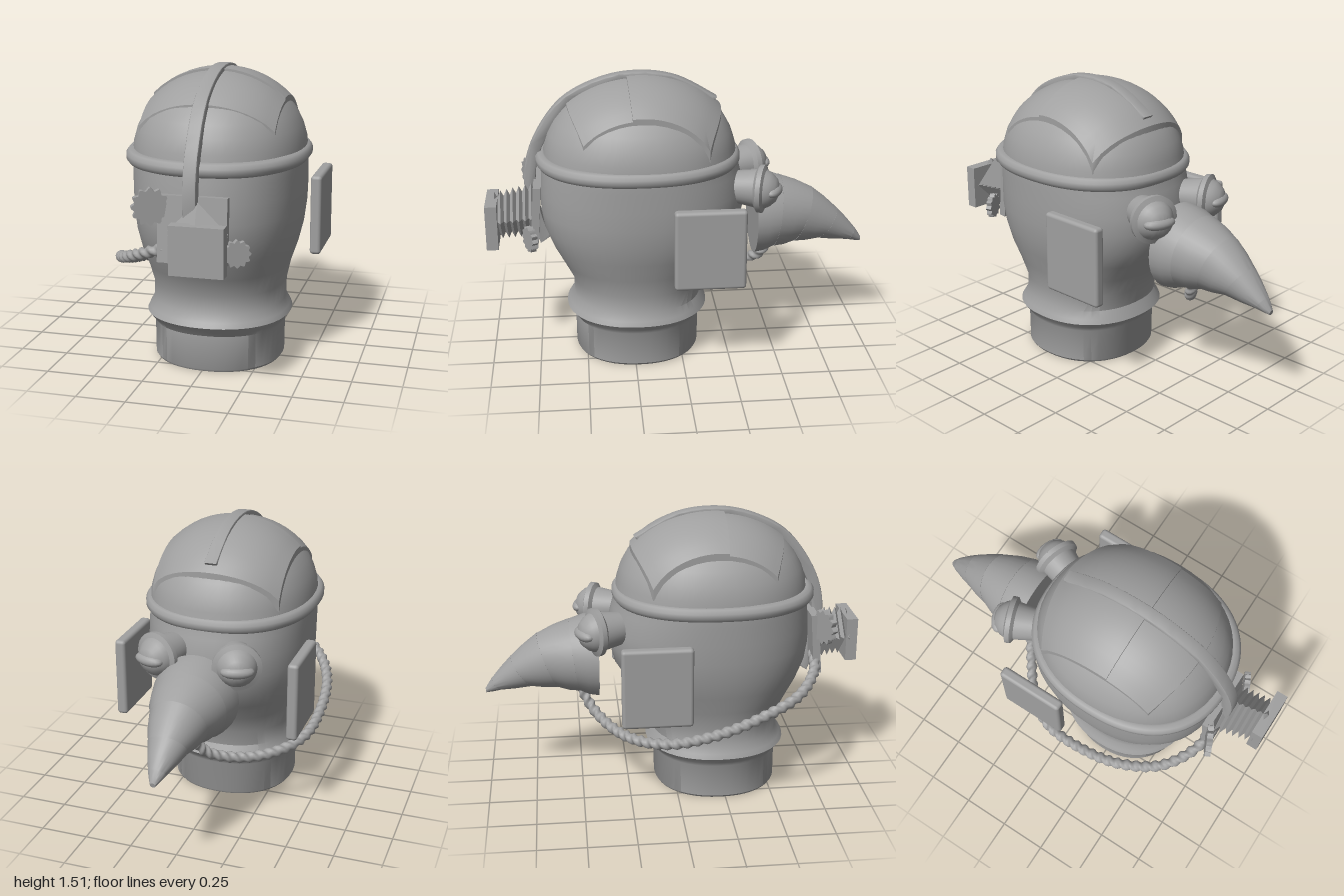
import * as THREE from 'three';
import { toCreasedNormals, mergeVertices } from 'three/addons/utils/BufferGeometryUtils.js';
import { RoundedBoxGeometry } from 'three/addons/geometries/RoundedBoxGeometry.js';

const V = (x, y, z) => new THREE.Vector3(x, y, z);

// Superellipse ring spanned by the half axes u and v
function ring(centre, u, v, count, power = 2) {
  const points = [];
  for (let j = 0; j < count; j++) {
    const a = (j / count) * Math.PI * 2, c = Math.cos(a), s = Math.sin(a);
    const bend = (t) => Math.sign(t) * Math.abs(t) ** (2 / power);
    points.push(centre.clone().addScaledVector(u, bend(c)).addScaledVector(v, bend(s)));
  }
  return points;
}

// Skin through equal rings, closed at both ends
function loft(rings, crease) {
  const n = rings[0].length, pos = [], index = [];
  rings.forEach((r) => r.forEach((p) => pos.push(p.x, p.y, p.z)));
  for (let i = 0; i < rings.length - 1; i++) {
    for (let j = 0; j < n; j++) {
      const a = i * n + j, b = i * n + (j + 1) % n;
      index.push(a, a + n, b, b, a + n, b + n);
    }
  }
  [rings[0], rings[rings.length - 1]].forEach((r, end) => {
    const c = r.reduce((s, p) => s.add(p), V(0, 0, 0)).divideScalar(n);
    const k = pos.length / 3, base = end ? (rings.length - 1) * n : 0;
    pos.push(c.x, c.y, c.z);
    for (let j = 0; j < n; j++) {
      const a = base + j, b = base + (j + 1) % n;
      if (end) index.push(k, b, a); else index.push(k, a, b);
    }
  });
  const g = new THREE.BufferGeometry();
  g.setAttribute('position', new THREE.Float32BufferAttribute(pos, 3));
  g.setIndex(index);
  return toCreasedNormals(g, crease);
}

export function createModel() {
  const group = new THREE.Group();
  const grey = new THREE.MeshStandardMaterial({ color: 0xa0a0a0 });
  grey.name = 'plain grey';
  const add = (name, geometry, parent = group) => {
    const mesh = new THREE.Mesh(geometry, grey);
    mesh.name = name;
    parent.add(mesh);
    return mesh;
  };

  // Neck, collar and face: height, half width, front z, back z
  const sections = [
    [0, 0.325, 0.55, -0.095], [0.012, 0.334, 0.557, -0.102], [0.19, 0.336, 0.557, -0.105],
    [0.215, 0.35, 0.575, -0.12], [0.245, 0.373, 0.6, -0.148], [0.27, 0.362, 0.585, -0.135],
    [0.31, 0.34, 0.56, -0.115], [0.4, 0.34, 0.56, -0.13], [0.5, 0.362, 0.612, -0.18],
    [0.6, 0.395, 0.665, -0.25], [0.7, 0.418, 0.705, -0.315], [0.8, 0.43, 0.72, -0.34],
    [0.9, 0.433, 0.718, -0.345], [1.0, 0.434, 0.71, -0.32], [1.07, 0.434, 0.7, -0.3],
  ];
  // Skull dome
  for (let i = 1; i <= 9; i++) {
    const t = (i / 9) * 1.54, c = Math.cos(t);
    sections.push([1.07 + 0.41 * Math.sin(t), 0.434 * c, 0.2 + 0.5 * c, 0.2 - 0.5 * c]);
  }
  add('head', loft(sections.map(([y, w, f, b]) =>
    ring(V(0.012, y, (f + b) / 2), V(w, 0, 0), V(0, 0, (f - b) / 2), 48, 2.2)), 0.6));

  // Brow band round the skull
  const bandPath = new THREE.CatmullRomCurve3(
    ring(V(0.01, 1.07, 0.21), V(0.422, 0, 0), V(0, 0, 0.492), 32, 2.3), true);
  add('browBand', new THREE.TubeGeometry(bandPath, 80, 0.038, 10, true));

  // Two curved plates on the crown
  function crownPlate(name, from, to, lift) {
    const g = new THREE.BoxGeometry(1, 1, 1, 16, 1, 10);
    const p = g.attributes.position;
    for (let i = 0; i < p.count; i++) {
      const u = p.getX(i) * 2, x = 0.01 + 0.34 * u;
      const front = 0.57 - 0.08 * u * u, back = -0.22 + 0.09 * u * u;
      const k = from + (to - from) * (p.getZ(i) + 0.5);
      const z = back + (front - back) * k;
      const d = 1 - ((x - 0.01) / 0.47) ** 2 - ((z - 0.2) / 0.53) ** 2;
      const top = 1.05 + 0.445 * Math.sqrt(Math.max(d, 0.02)) + lift;
      p.setXYZ(i, x, p.getY(i) > 0 ? top : top - 0.06, z);
    }
    add(name, toCreasedNormals(g, 0.6));
  }
  crownPlate('rearCrownPlate', 0, 0.61, 0);
  crownPlate('frontCrownPlate', 0.59, 1, -0.012);

  // Crest strip along the midline, drawn as (z, y)
  const outer = new THREE.SplineCurve([
    [0.73, 0.59], [0.78, 0.75], [0.8, 0.98], [0.74, 1.18], [0.6, 1.37],
    [0.4, 1.475], [0.2, 1.507], [0, 1.475], [-0.2, 1.365],
  ].map(([z, y]) => new THREE.Vector2(z, y))).getPoints(48);
  const inner = outer.map((p) => new THREE.Vector2(0.2 + (p.x - 0.2) * 0.9, 0.95 + (p.y - 0.95) * 0.9));
  const crest = new THREE.ExtrudeGeometry(new THREE.Shape([...outer, ...inner.reverse()]),
    { depth: 0.05, bevelThickness: 0.008, bevelSize: 0.006, bevelSegments: 2, bevelOffset: -0.006 });
  crest.rotateY(-Math.PI / 2).translate(0.036, 0, 0);
  add('crestStrip', toCreasedNormals(crest, 0.6));

  // Ear panels
  [['leftEarPanel', 0.476], ['rightEarPanel', -0.456]].forEach(([name, x]) => {
    add(name, new RoundedBoxGeometry(0.058, 0.42, 0.36, 3, 0.018)).position.set(x, 0.71, -0.122);
  });

  // Mouthpiece: mounting plate, square bellows and end plate
  const mount = add('mouthMount', new THREE.BoxGeometry(0.34, 0.325, 0.04));
  mount.position.set(0.015, 0.79, 0.745);
  mount.rotation.x = -0.08;
  const folds = [];
  for (let i = 0; i <= 14; i++) {
    const t = i / 14, r = (i % 2 ? 0.15 : 0.115) - 0.02 * t;
    folds.push(ring(V(0.04 + 0.05 * t, 0.785 - 0.01 * t, 0.75 + 0.22 * t), V(r, 0, 0), V(0, -r, 0), 4));
  }
  add('mouthBellows', loft(folds, 0.1));
  add('mouthEndPlate', new THREE.BoxGeometry(0.26, 0.235, 0.06)).position.set(0.1, 0.76, 0.968);

  // Toothed knobs either side of the mouthpiece
  [['rightKnob', -0.185, 0.9, 0.775, 0.093], ['leftKnob', 0.235, 0.7, 0.775, 0.068]].forEach(([name, x, y, z, r]) => {
    const points = [];
    for (let i = 0; i < 72; i++) {
      const a = (i / 72) * Math.PI * 2, q = r * (0.91 + 0.09 * Math.cos(a * 12));
      points.push(new THREE.Vector2(q * Math.cos(a), q * Math.sin(a)));
    }
    const g = new THREE.ExtrudeGeometry(new THREE.Shape(points), { depth: 0.03, bevelEnabled: false });
    const knob = add(name, toCreasedNormals(g.translate(0, 0, -0.015), 0.6));
    knob.position.set(x, y, z);
    knob.rotation.y = 0.45;
  });

  // Drooping horn: top z, top y, bottom z, bottom y, half width of each joint
  const joints = [
    [-0.4, 0.95, -0.4, 0.5, 0.222], [-0.55, 0.915, -0.5, 0.53, 0.2], [-0.72, 0.845, -0.61, 0.55, 0.15],
    [-0.86, 0.725, -0.75, 0.56, 0.1], [-0.965, 0.605, -0.92, 0.54, 0.045], [-1.0, 0.55, -0.995, 0.525, 0.014],
  ];
  const joint = ([tz, ty, bz, by, w], s) => ring(V(0.01, (ty + by) / 2, (tz + bz) / 2),
    V(w * s, 0, 0), V(0, (ty - by) / 2 * s, (tz - bz) / 2 * s), 32);
  const horn = new THREE.Group();
  horn.name = 'horn';
  group.add(horn);
  for (let i = 0; i < joints.length - 1; i++) {
    const a = joints[i], b = joints[i + 1], mid = a.map((v, k) => (v + b[k]) / 2);
    add('hornSegment', loft([joint(a, 1), joint(mid, 1.03), joint(b, 0.99), joint(b, 0.93)], 0.6), horn);
  }

  // Rear eyes: stalk, brim, dome and lidded lens
  const profile = [[0, -0.13], [0.085, -0.13], [0.1, -0.03], [0.123, -0.015], [0.125, 0.01], [0.1, 0.02],
    [0.088, 0.045], [0.06, 0.075], [0.03, 0.088], [0, 0.09]].map(([x, y]) => new THREE.Vector2(x, y));
  for (const side of [-1, 1]) {
    const eye = new THREE.Group();
    eye.name = side > 0 ? 'leftRearEye' : 'rightRearEye';
    eye.position.set(0.005 + side * 0.21, 0.925, -0.415);
    eye.rotation.y = Math.PI - side * 0.36;
    group.add(eye);
    add('eyeBall', toCreasedNormals(new THREE.LatheGeometry(profile, 28).rotateX(Math.PI / 2), 0.6), eye);
    add('eyeLens', new THREE.SphereGeometry(1, 20, 12).scale(0.085, 0.034, 0.045), eye).position.z = 0.06;
  }

  // Twisted hose from the mouthpiece round the right side to the horn
  const hosePath = new THREE.CatmullRomCurve3([
    V(-0.07, 0.71, 0.75), V(-0.2, 0.665, 0.73), V(-0.36, 0.595, 0.62), V(-0.46, 0.53, 0.42),
    V(-0.485, 0.45, 0.18), V(-0.46, 0.4, -0.04), V(-0.36, 0.375, -0.2),
    V(-0.2, 0.375, -0.33), V(-0.05, 0.44, -0.44), V(0, 0.55, -0.5),
  ]);
  const hose = new THREE.TubeGeometry(hosePath, 240, 0.026, 12);
  const hp = hose.attributes.position, hn = hose.attributes.normal;
  for (let i = 0; i < hp.count; i++) {
    const along = Math.floor(i / 13), turn = ((i % 13) / 12) * Math.PI * 2;
    const d = 0.005 * Math.sin(along * 0.9 + turn * 2);
    hp.setXYZ(i, hp.getX(i) + hn.getX(i) * d, hp.getY(i) + hn.getY(i) * d, hp.getZ(i) + hn.getZ(i) * d);
  }
  hose.deleteAttribute('normal');
  hose.deleteAttribute('uv');
  const skin = mergeVertices(hose, 1e-5);
  skin.computeVertexNormals();
  add('hose', skin);

  return group;
}
